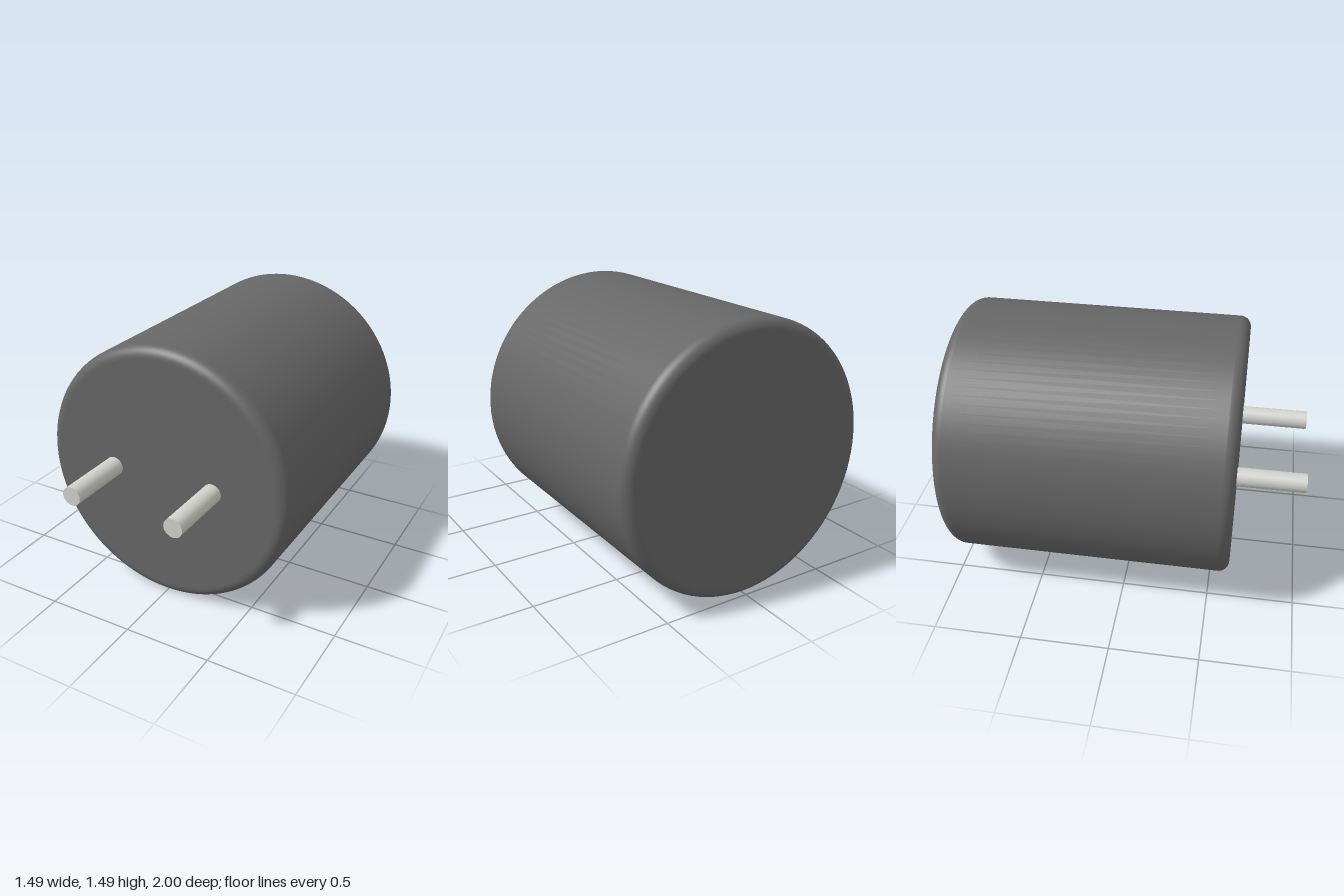
import * as THREE from 'three';

const RADIUS = 0.745, BACK = -1, FRONT = 0.615, FILLET = 0.062;
const PIN_X = 0.31, PIN_RADIUS = 0.054;

// Half outline of the can: flat back, rounded rim, straight wall, rounded rim, flat front
function canProfile() {
  const steps = 10, eps = 0.001;
  const inner = RADIUS - FILLET;
  const points = [new THREE.Vector2(0, BACK), new THREE.Vector2(inner - eps, BACK)];
  const addRim = (z, start) => {
    for (let i = 0; i <= steps; i++) {
      const a = start + (i / steps) * Math.PI / 2;
      points.push(new THREE.Vector2(inner + FILLET * Math.cos(a), z + FILLET * Math.sin(a)));
    }
  };
  addRim(BACK + FILLET, -Math.PI / 2);
  points.push(new THREE.Vector2(RADIUS, BACK + FILLET + eps), new THREE.Vector2(RADIUS, FRONT - FILLET - eps));
  addRim(FRONT - FILLET, 0);
  points.push(new THREE.Vector2(inner - eps, FRONT), new THREE.Vector2(0, FRONT));
  return points;
}

export function createModel() {
  const model = new THREE.Group();
  model.name = 'twoPinCan';

  const bodyMaterial = new THREE.MeshStandardMaterial({ color: 0x666666 });
  const pinMaterial = new THREE.MeshStandardMaterial({ color: 0xd1d1cc });

  // Cylindrical can lying along z
  const body = new THREE.Mesh(new THREE.LatheGeometry(canProfile(), 96).rotateX(Math.PI / 2), bodyMaterial);
  body.name = 'body';
  body.position.y = RADIUS;
  model.add(body);

  // Pair of contact pins on the front face
  const pinLength = 1 - FRONT;
  const pinGeometry = new THREE.CylinderGeometry(PIN_RADIUS, PIN_RADIUS, pinLength, 32).rotateX(Math.PI / 2);
  for (const side of [1, -1]) {
    const pin = new THREE.Mesh(pinGeometry, pinMaterial);
    pin.name = side > 0 ? 'leftPin' : 'rightPin';
    pin.position.set(side * PIN_X, RADIUS, FRONT + pinLength / 2);
    model.add(pin);
  }
  return model;
}
